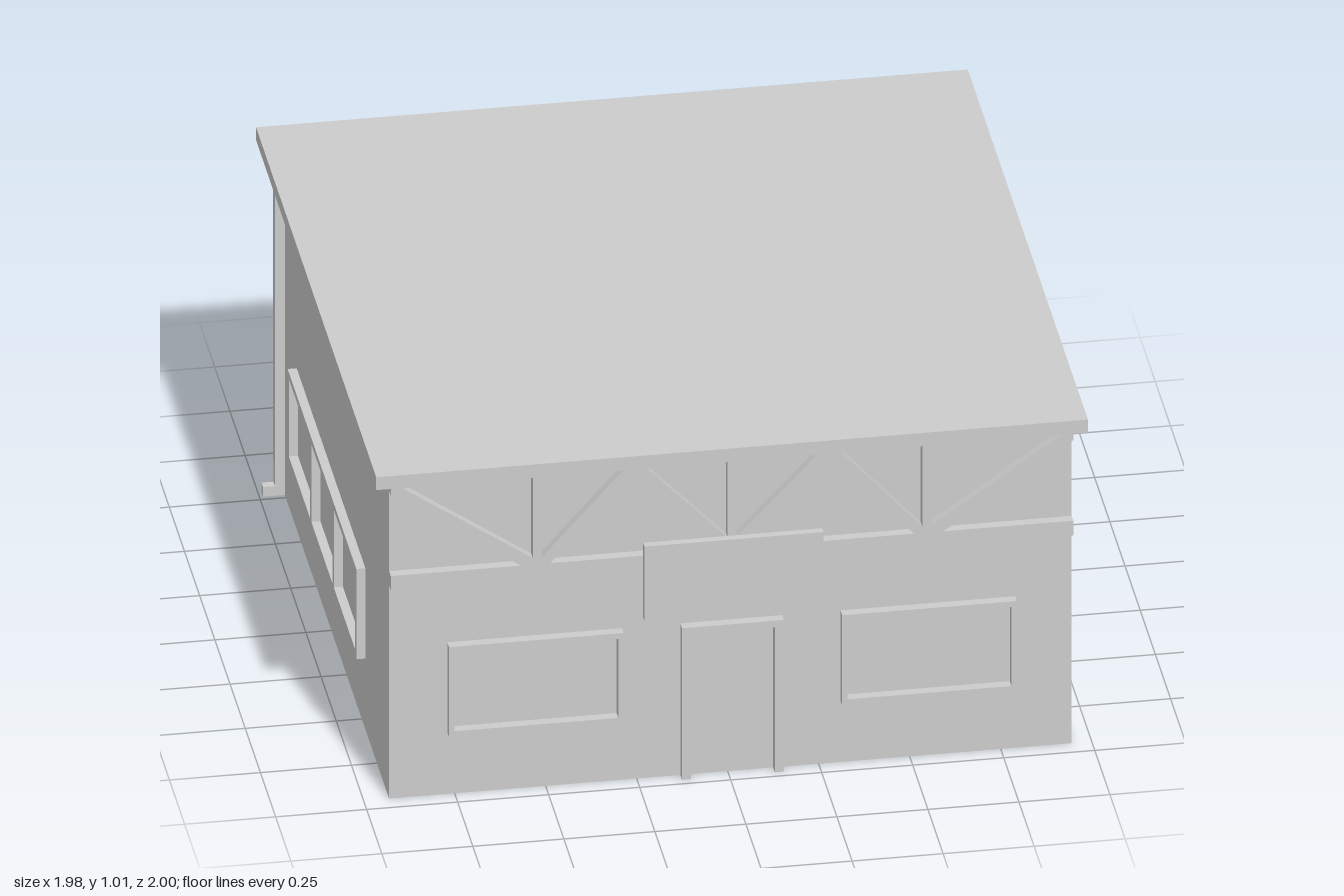
import * as THREE from 'three';

const mat = new THREE.MeshStandardMaterial({ color: 0xcccccc, side: THREE.DoubleSide });
const X0 = -0.93, X1 = 0.945, Z0 = -0.96, Z1 = 0.95, TOP = 0.975, MID = 0.0075;

const rect = (x0, x1, y0, y1) => [[x0, y0], [x1, y0], [x1, y1], [x0, y1]];
const toVectors = loop => loop.map(([x, y]) => new THREE.Vector2(x, y));

function addMesh(parent, name, geometry) {
  const mesh = new THREE.Mesh(geometry, mat);
  mesh.name = name;
  parent.add(mesh);
  return mesh;
}

function addBox(parent, name, x0, x1, y0, y1, z0, z1) {
  const mesh = addMesh(parent, name, new THREE.BoxGeometry(x1 - x0, y1 - y0, z1 - z0));
  mesh.position.set((x0 + x1) / 2, (y0 + y1) / 2, (z0 + z1) / 2);
}

// Flat sheet facing +z, with optional holes
function sheet(outline, holes = []) {
  const shape = new THREE.Shape(toVectors(outline));
  shape.holes = holes.map(h => new THREE.Path(toVectors(h)));
  return new THREE.ShapeGeometry(shape);
}

// Raised trim, open at the back: a front sheet and the rims of all its loops
function addRelief(parent, name, outline, holes, depth) {
  const group = new THREE.Group();
  group.name = name;
  addMesh(group, 'trimFace', sheet(outline, holes)).position.z = depth;
  const pos = [];
  [outline, ...holes].forEach((loop, k) => {
    const pts = toVectors(loop);
    if (THREE.ShapeUtils.isClockWise(pts) !== k > 0) pts.reverse();
    pts.forEach((a, i) => {
      const b = pts[(i + 1) % pts.length];
      pos.push(a.x, a.y, 0, b.x, b.y, 0, b.x, b.y, depth);
      pos.push(a.x, a.y, 0, b.x, b.y, depth, a.x, a.y, depth);
    });
  });
  const rim = new THREE.BufferGeometry();
  rim.setAttribute('position', new THREE.Float32BufferAttribute(pos, 3));
  rim.computeVertexNormals();
  addMesh(group, 'trimRim', rim);
  parent.add(group);
}

function frontWall() {
  const wall = new THREE.Group();
  wall.name = 'frontWall';
  wall.position.z = Z1;
  const depth = 0.028;

  // Lower wall, with openings behind the window frames and the door frame
  const windows = [[-0.77, -0.29], [0.31, 0.79]];
  addMesh(wall, 'lowerWall', sheet(
    [[X0, 0], [-0.13, 0], [-0.13, 0.47], [0.15, 0.47], [0.15, 0], [X1, 0], [X1, 0.66], [X0, 0.66]],
    windows.map(([a, b]) => rect(a, b, 0.19, 0.47))));
  for (const [a, b] of windows) {
    const pane = rect(a + 0.015, b - 0.015, 0.208, 0.453);
    addRelief(wall, 'windowFrame', rect(a, b, 0.19, 0.47), [pane], depth);
    addMesh(wall, 'windowPane', sheet(pane));
  }
  addRelief(wall, 'doorFrame', [[-0.13, 0], [-0.105, 0], [-0.105, 0.45], [0.125, 0.45],
    [0.125, 0], [0.15, 0], [0.15, 0.47], [-0.13, 0.47]], [], depth);
  addMesh(wall, 'door', sheet(rect(-0.105, 0.125, 0, 0.45)));

  // Truss: panels of one half as [distance from the middle, height], mirrored
  const top = TOP - 0.001;
  const panels = [
    [[0.0125, 0.74], [0.235, top], [0.0125, top]],
    [[0.045, 0.705], [0.5, 0.705], [0.27, 0.958]],
    [[0.5225, 0.725], [0.5225, top], [0.3, top]],
    [[0.5475, 0.725], [0.905, top], [0.5475, top]],
  ];
  const end = [[0.9375, 0.66], [0.9375, 0.705], [0.58, 0.705], [0.9375, 0.955], [0.9375, TOP + 0.005]];
  const corner = [[0.58, 0.705], [0.9375, 0.705], [0.9375, 0.955]];
  const side = (loop, s) => loop.map(([u, y]) => [MID + s * u, y]);
  const holes = [1, -1].flatMap(s => panels.map(p => side(p, s)));
  addRelief(wall, 'truss', [...side(end, 1), ...side(end, -1).reverse()], holes, depth);
  for (const p of [...holes, side(corner, 1), side(corner, -1)]) {
    addMesh(wall, 'trussPanel', sheet(p));
  }
  return wall;
}

function rightWall() {
  const wall = new THREE.Group();
  wall.name = 'rightWall';
  wall.position.x = X0;
  wall.rotation.y = -Math.PI / 2;
  // Long window with three panes
  const frame = rect(-0.57, 0.56, 0.22, 0.5);
  const step = 1.11 / 3;
  const panes = [0, 1, 2].map(i =>
    rect(-0.55 + i * step, -0.57 + (i + 1) * step, 0.24, 0.48));
  addMesh(wall, 'wallFace', sheet(rect(Z0, Z1, 0, TOP), [frame]));
  addRelief(wall, 'longWindowFrame', frame, panes, 0.025);
  panes.forEach(p => addMesh(wall, 'windowPane', sheet(p)));
  return wall;
}

// Left and back walls share a smoothly shaded corner
function plainWalls() {
  const pos = [[X1, Z1], [X1, Z0], [X0, Z0]].flatMap(([x, z]) => [x, 0, z, x, TOP, z]);
  const g = new THREE.BufferGeometry();
  g.setAttribute('position', new THREE.Float32BufferAttribute(pos, 3));
  g.setIndex([0, 2, 3, 0, 3, 1, 2, 4, 5, 2, 5, 3]);
  g.computeVertexNormals();
  return g;
}

export function createModel() {
  const model = new THREE.Group();
  model.name = 'building';
  model.add(frontWall(), rightWall());
  addMesh(model, 'leftAndBackWalls', plainWalls());
  addBox(model, 'roof', -0.97, 0.985, TOP, 1.015, -1, 0.978);
  addBox(model, 'signBoard', -0.237, 0.255, 0.515, 0.745, 0.978, 1);
  // Drainpipe with an outlet at the foot
  addBox(model, 'drainpipe', -0.957, X0, 0.03, TOP, -0.79, -0.765);
  addBox(model, 'drainOutlet', -0.99, X0, 0, 0.03, -0.79, -0.765);
  return model;
}
